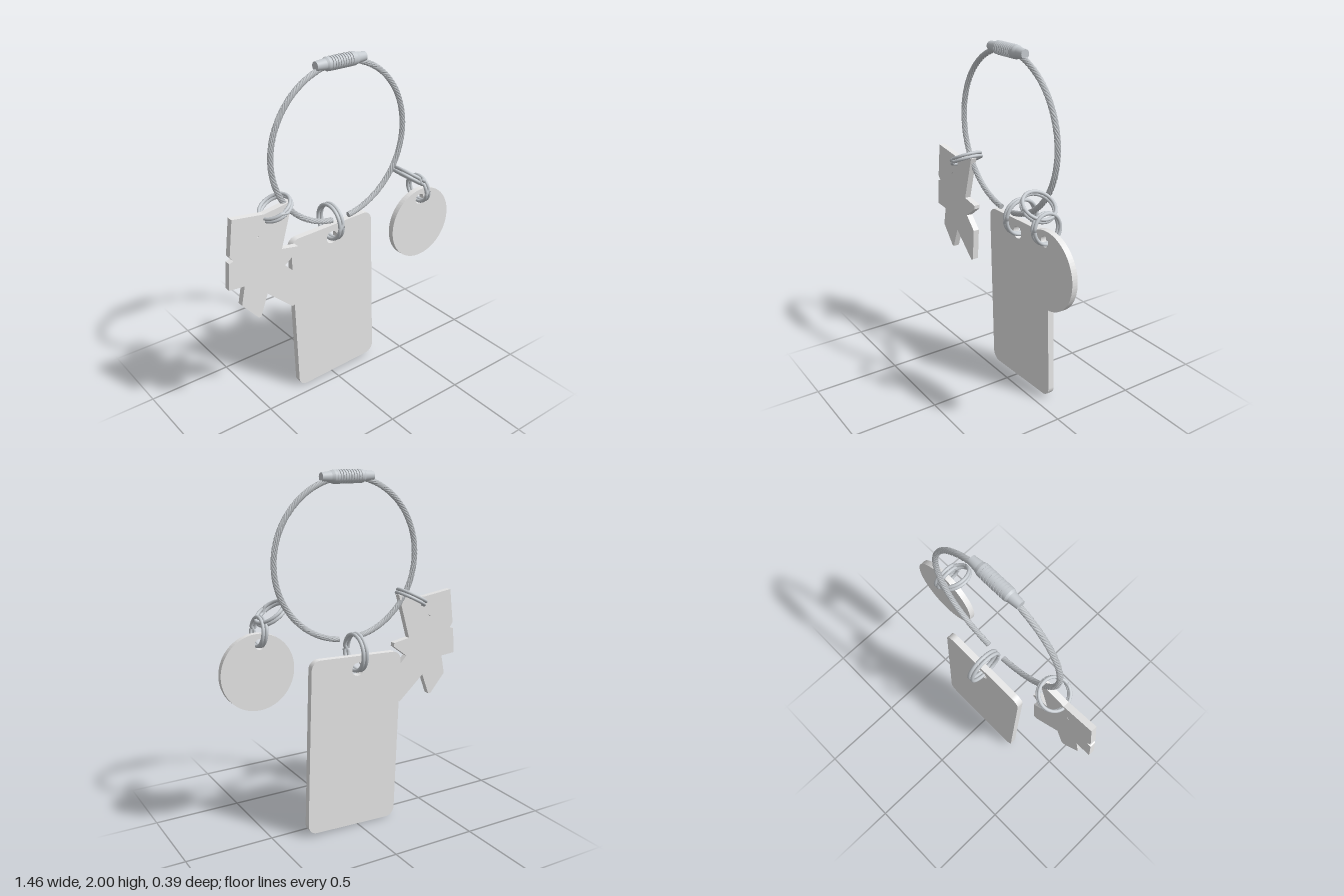
import * as THREE from 'three';

const mat = (name, color, side = THREE.FrontSide) => {
  const m = new THREE.MeshStandardMaterial({ color, side });
  m.name = name;
  return m;
};

// Curve given by a function of t in 0..1
class PathCurve extends THREE.Curve {
  constructor(fn) { super(); this.fn = fn; }
  getPoint(t, target = new THREE.Vector3()) { return target.copy(this.fn(t)); }
}

export function createModel() {
  const root = new THREE.Group();
  root.name = 'keyRing';
  const plate = mat('plateGrey', 0xe6e6e6);
  const steel = mat('steel', 0xc6cbd0, THREE.DoubleSide);
  const cableGrey = mat('cableGrey', 0xbcc0c4, THREE.DoubleSide);

  const add = (parent, name, geo, material, x = 0, y = 0, z = 0, rz = 0) => {
    const m = new THREE.Mesh(geo, material);
    m.name = name;
    m.position.set(x, y, z);
    m.rotation.z = rz;
    parent.add(m);
    return m;
  };

  // Twisted cable loop, open at the bottom
  const cable = new THREE.Group();
  cable.name = 'cableLoop';
  cable.position.set(0.006, 1.525, 0.004);
  root.add(cable);
  const R = 0.438, gap = 0.135, strands = 6;
  for (let i = 0; i < strands; i++) {
    const path = new PathCurve(t => {
      const a = -Math.PI / 2 + gap + t * (Math.PI * 2 - gap * 2);
      const w = t * Math.PI * 2 * 18 + (i / strands) * Math.PI * 2;
      const r = R + 0.0095 * Math.cos(w);
      return new THREE.Vector3(r * Math.cos(a), r * Math.sin(a), 0.0095 * Math.sin(w));
    });
    add(cable, 'strand', new THREE.TubeGeometry(path, 400, 0.0068, 7), cableGrey);
  }
  const core = new PathCurve(t => {
    const a = -Math.PI / 2 + gap + t * (Math.PI * 2 - gap * 2);
    return new THREE.Vector3(R * Math.cos(a), R * Math.sin(a), 0);
  });
  add(cable, 'cableCore', new THREE.TubeGeometry(core, 120, 0.009, 8), cableGrey);
  for (const s of [-1, 1]) {
    const a = -Math.PI / 2 + s * gap;
    add(cable, 'cableEnd', new THREE.CylinderGeometry(0.0155, 0.0155, 0.006, 20), cableGrey,
      R * Math.cos(a), R * Math.sin(a), 0, a);
  }

  // Screw clasp: tapered ends around a ribbed grip
  const profile = [[0, -0.157], [0.024, -0.157], [0.03, -0.1], [0.036, -0.088], [0.036, -0.072]];
  const ribs = 9, pitch = 0.144 / ribs;
  for (let i = 0; i < ribs; i++) {
    const y = -0.072 + i * pitch;
    profile.push([0.033, y + 0.001], [0.033, y + pitch * 0.25], [0.037, y + pitch * 0.3], [0.037, y + pitch * 0.97]);
  }
  profile.push([0.036, 0.073], [0.036, 0.088], [0.03, 0.105], [0.024, 0.157], [0, 0.157]);
  const clasp = new THREE.Group();
  clasp.name = 'screwClasp';
  clasp.position.set(0.007, 1.963, 0.004);
  clasp.rotation.z = -Math.PI / 2;
  root.add(clasp);
  // Each profile piece is its own band so the steps stay crisp
  for (let i = 0; i < profile.length - 1; i++) {
    const pts = [profile[i], profile[i + 1]].map(p => new THREE.Vector2(...p));
    add(clasp, 'claspBand', new THREE.LatheGeometry(pts, 32), steel);
  }

  // Split rings: two coils joined by a short crossing
  const splitRing = (name, r, tube, x, y, z, rz) => {
    const path = new PathCurve(t => {
      const a = t * Math.PI * 4 + Math.PI / 2;
      const k = THREE.MathUtils.smoothstep(t, 0.482, 0.518) * 2 - 1;
      return new THREE.Vector3(r * Math.cos(a), k * tube * 1.05, r * Math.sin(a));
    });
    return add(root, name, new THREE.TubeGeometry(path, 200, tube, 12), steel, x, y, z, rz);
  };
  const deg = Math.PI / 180;
  splitRing('cardRing', 0.101, 0.0105, 0.008, 1.03, -0.086, 90 * deg);
  splitRing('leafRing', 0.088, 0.0095, -0.416, 1.277, 0.005, 28 * deg);
  splitRing('discUpperRing', 0.088, 0.0095, 0.424, 1.26, 0.1, -35 * deg);
  splitRing('discLowerRing', 0.078, 0.0095, 0.495, 1.167, 0.102, -83 * deg);

  // Flat tags
  const hole = (x, y, r) => new THREE.Path().absarc(x, y, r, 0, Math.PI * 2, true);
  const slab = (shape, depth) => {
    const g = new THREE.ExtrudeGeometry(shape, { depth, bevelEnabled: false, curveSegments: 40 });
    return g.translate(0, 0, -depth / 2);
  };

  // Rounded card
  const w = 0.283, h = 0.502, c = 0.055;
  const card = new THREE.Shape();
  card.absarc(w - c, h - c, c, 0, Math.PI / 2);
  card.absarc(-w + c, h - c, c, Math.PI / 2, Math.PI);
  card.absarc(-w + c, -h + c, c, Math.PI, Math.PI * 1.5);
  card.absarc(w - c, -h + c, c, Math.PI * 1.5, Math.PI * 2);
  card.holes.push(hole(-0.004, 0.427, 0.037));
  add(root, 'cardTag', slab(card, 0.038), plate, 0.0225, 0.511, -0.086, 2 * deg);

  // Round disc
  const disc = new THREE.Shape().absarc(0, 0, 0.214, 0, Math.PI * 2);
  disc.holes.push(hole(-0.015, 0.155, 0.03));
  add(root, 'discTag', slab(disc, 0.033), plate, 0.513, 0.947, 0.099);

  // Jagged leaf with a tiny slit
  const leaf = new THREE.Shape([
    [-0.69, 1.298], [-0.5, 1.272], [-0.328, 1.298], [-0.402, 1.04], [-0.3, 1.022], [-0.3, 1.0],
    [-0.386, 0.935], [-0.312, 0.86], [-0.327, 0.67], [-0.345, 0.662], [-0.503, 0.803],
    [-0.55, 0.677], [-0.565, 0.677], [-0.662, 0.79], [-0.64, 0.9], [-0.732, 0.908],
    [-0.72, 1.06], [-0.695, 1.068], [-0.715, 1.095],
  ].reverse().map(p => new THREE.Vector2(...p)));
  leaf.holes.push(new THREE.Path([[-0.555, 1.15], [-0.537, 1.164], [-0.539, 1.156]]
    .map(p => new THREE.Vector2(...p))));
  add(root, 'leafTag', slab(leaf, 0.036), plate, 0.003, 0, 0.011);

  return root;
}
